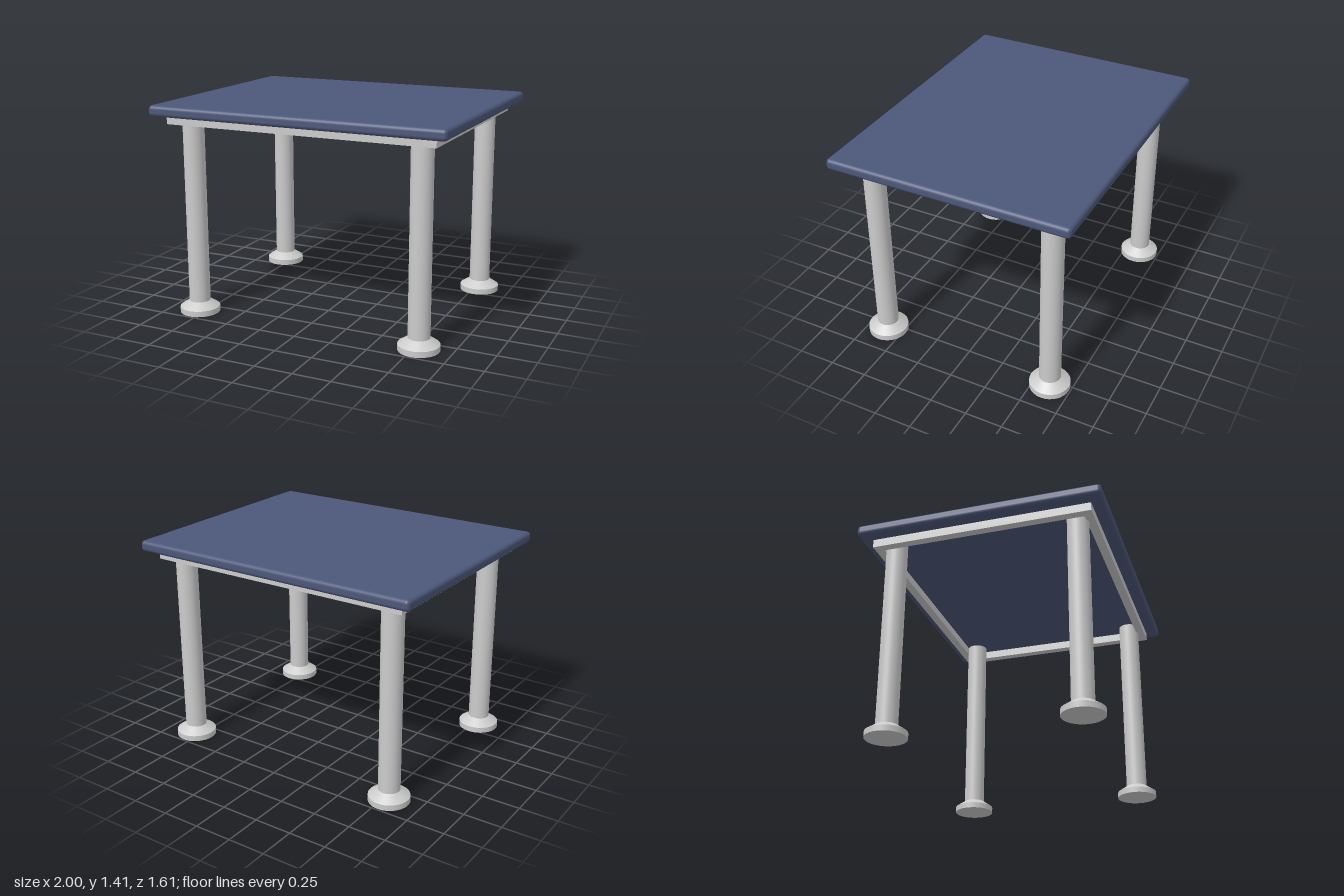
import * as THREE from 'three';
import { RoundedBoxGeometry } from 'three/addons/geometries/RoundedBoxGeometry.js';

const grey = new THREE.MeshStandardMaterial({ color: 0xcccccc });
const blue = new THREE.MeshStandardMaterial({ color: 0x4c587a });

const TOP_BOTTOM = 1.34; // underside of the table top
const FRAME_BOTTOM = 1.285;

function addMesh(parent, name, geometry, material, x = 0, y = 0, z = 0) {
  const mesh = new THREE.Mesh(geometry, material);
  mesh.name = name;
  mesh.position.set(x, y, z);
  parent.add(mesh);
  return mesh;
}

// Round tapered section standing between two heights
function addRound(parent, name, rTop, rBottom, y0, y1, open = false) {
  const geometry = new THREE.CylinderGeometry(rTop, rBottom, y1 - y0, 32, 1, open);
  addMesh(parent, name, geometry, grey, 0, (y0 + y1) / 2, 0);
}

function rectangle(PathType, halfX, halfZ) {
  const path = new PathType();
  path.moveTo(-halfX, -halfZ);
  path.lineTo(halfX, -halfZ);
  path.lineTo(halfX, halfZ);
  path.lineTo(-halfX, halfZ);
  path.closePath();
  return path;
}

// Straight post with a flared foot
function makeLeg() {
  const leg = new THREE.Group();
  addRound(leg, 'footDisc', 0.133, 0.133, 0, 0.038);
  addRound(leg, 'footFlare', 0.07, 0.133, 0.038, 0.08, true);
  addRound(leg, 'post', 0.07, 0.07, 0.038, TOP_BOTTOM);
  return leg;
}

export function createModel() {
  const table = new THREE.Group();
  table.name = 'table';

  // Table top with softly rounded edges
  addMesh(table, 'tableTop', new RoundedBoxGeometry(2, 0.072, 1.608, 4, 0.025),
    blue, 0, TOP_BOTTOM + 0.036, 0);

  // Open rectangular frame below the top
  const outline = rectangle(THREE.Shape, 0.913, 0.722);
  outline.holes.push(rectangle(THREE.Path, 0.858, 0.667));
  const frame = new THREE.ExtrudeGeometry(outline,
    { depth: TOP_BOTTOM - FRAME_BOTTOM, bevelEnabled: false });
  frame.rotateX(-Math.PI / 2);
  addMesh(table, 'frame', frame, grey, 0, FRAME_BOTTOM, 0);

  // One leg at each corner
  for (const x of [-1, 1]) {
    for (const z of [-1, 1]) {
      const leg = makeLeg();
      leg.name = (z > 0 ? 'front' : 'back') + (x > 0 ? 'Left' : 'Right') + 'Leg';
      leg.position.set(x * 0.788, 0, z * 0.608);
      table.add(leg);
    }
  }
  return table;
}
